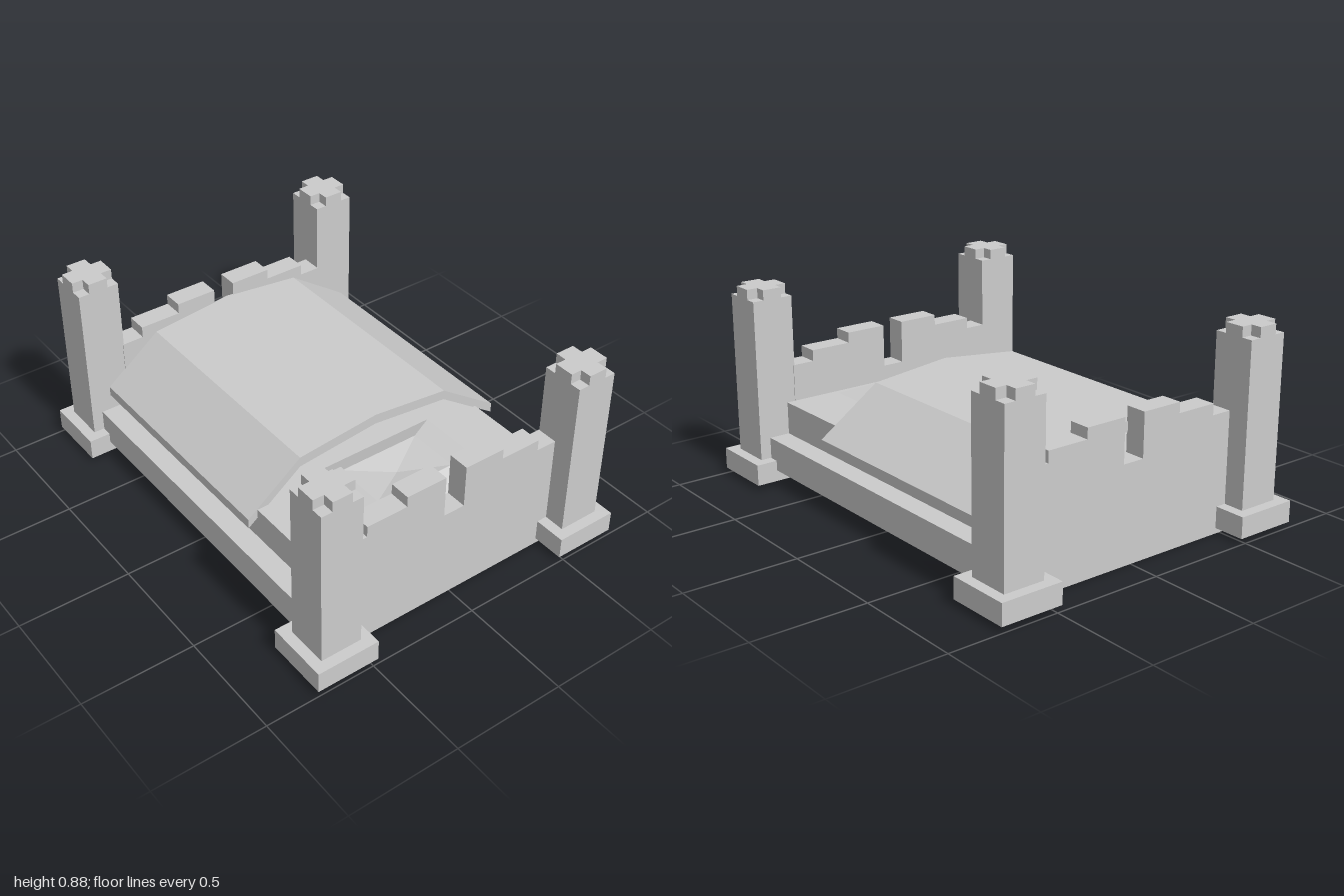
import * as THREE from 'three';

const material = new THREE.MeshStandardMaterial({ color: 0xcccccc, flatShading: true, side: THREE.DoubleSide });

function add(parent, name, geometry, x = 0, y = 0, z = 0) {
  const mesh = new THREE.Mesh(geometry, material);
  mesh.name = name;
  mesh.position.set(x, y, z);
  parent.add(mesh);
  return mesh;
}

// Box without its underside
function openBox(w, h, d) {
  const geometry = new THREE.BoxGeometry(w, h, d);
  const index = Array.from(geometry.index.array);
  index.splice(18, 6);
  geometry.setIndex(index);
  geometry.clearGroups();
  return geometry;
}

// Outline given as [z, y], extruded from x = 0 towards -x
function crossSection(points, length) {
  const shape = new THREE.Shape(points.map(([z, y]) => new THREE.Vector2(z, y)));
  const geometry = new THREE.ExtrudeGeometry(shape, { depth: length, bevelEnabled: false });
  return geometry.rotateY(-Math.PI / 2);
}

// Square slab with its four corners notched out, rising from y = 0
function notchedSlab(half, notch, height) {
  const a = half, b = half - notch;
  const shape = new THREE.Shape([
    [a, -b], [a, b], [b, b], [b, a], [-b, a], [-b, b],
    [-a, b], [-a, -b], [-b, -b], [-b, -a], [b, -a], [b, -b],
  ].map(([x, y]) => new THREE.Vector2(x, y)));
  const geometry = new THREE.ExtrudeGeometry(shape, { depth: height, bevelEnabled: false });
  return geometry.rotateX(-Math.PI / 2);
}

// Pillow: sloped sides and a top that dips to the middle
function pillowGeometry() {
  const ring = (hx, y, hz) => [[-hx, y, hz], [hx, y, hz], [hx, y, -hz], [-hx, y, -hz]];
  const positions = [...ring(0.21, 0, 0.335), ...ring(0.118, 0.04, 0.19), [0, 0.015, 0]].flat();
  const index = [0, 2, 1, 0, 3, 2];
  for (let i = 0; i < 4; i++) {
    const j = (i + 1) % 4;
    index.push(i, j, 4 + j, i, 4 + j, 4 + i, 4 + i, 4 + j, 8);
  }
  const geometry = new THREE.BufferGeometry();
  geometry.setAttribute('position', new THREE.Float32BufferAttribute(positions, 3));
  geometry.setIndex(index);
  const flat = geometry.toNonIndexed();
  flat.computeVertexNormals();
  return flat;
}

export function createModel() {
  const model = new THREE.Group();
  model.name = 'castleBed';

  // Hollow frame and the mattress on it
  add(model, 'bedFrame', openBox(1.52, 0.14, 1.33), 0, 0.145, 0);
  add(model, 'mattress', new THREE.BoxGeometry(1.52, 0.145, 1.14), 0, 0.2875, 0);
  add(model, 'pillow', pillowGeometry(), 0.5, 0.37, 0);
  add(model, 'underPanel', new THREE.PlaneGeometry(0.43, 0.65).rotateX(Math.PI / 2), 0.03, 0.002, 0);

  // Arched blanket of even thickness
  const arch = [[0.615, 0.33], [0.36, 0.525], [-0.02, 0.565], [-0.385, 0.525], [-0.665, 0.33]];
  const lining = arch.map(([z, y]) => [z, y - 0.045]).reverse();
  add(model, 'blanket', crossSection([...arch, ...lining], 1.095), 0.33, 0, 0);

  // Stepped battlement boards at both ends, with a thin skirt to the floor
  const half = [[0.53, 0.08], [0.53, 0.525], [0.43, 0.525], [0.43, 0.575], [0.24, 0.575],
    [0.24, 0.622], [0.05, 0.622], [0.05, 0.43]];
  const outline = [...half, ...half.map(([z, y]) => [-z, y]).reverse()];
  for (const [name, turn] of [['headboard', 0], ['footboard', Math.PI]]) {
    const board = new THREE.Group();
    board.name = name;
    board.rotation.y = turn;
    add(board, 'battlement', crossSection(outline, 0.095), 0.855, 0, 0);
    add(board, 'skirt', new THREE.PlaneGeometry(1.06, 0.08).rotateY(Math.PI / 2), 0.855, 0.04, 0);
    model.add(board);
  }

  // Corner towers on hollow bases
  for (const sx of [-1, 1]) {
    for (const sz of [-1, 1]) {
      const tower = new THREE.Group();
      tower.name = 'cornerTower';
      tower.position.set(0.857 * sx, 0, 0.619 * sz);
      add(tower, 'base', openBox(0.285, 0.095, 0.285), 0, 0.0725, 0);
      add(tower, 'post', new THREE.BoxGeometry(0.188, 0.72, 0.188), 0, 0.48, 0);
      add(tower, 'notchedTop', notchedSlab(0.094, 0.05, 0.045), 0, 0.84, 0);
      add(tower, 'notchedFoot', notchedSlab(0.094, 0.05, 0.045), 0, 0.075, 0);
      model.add(tower);
    }
  }
  return model;
}
